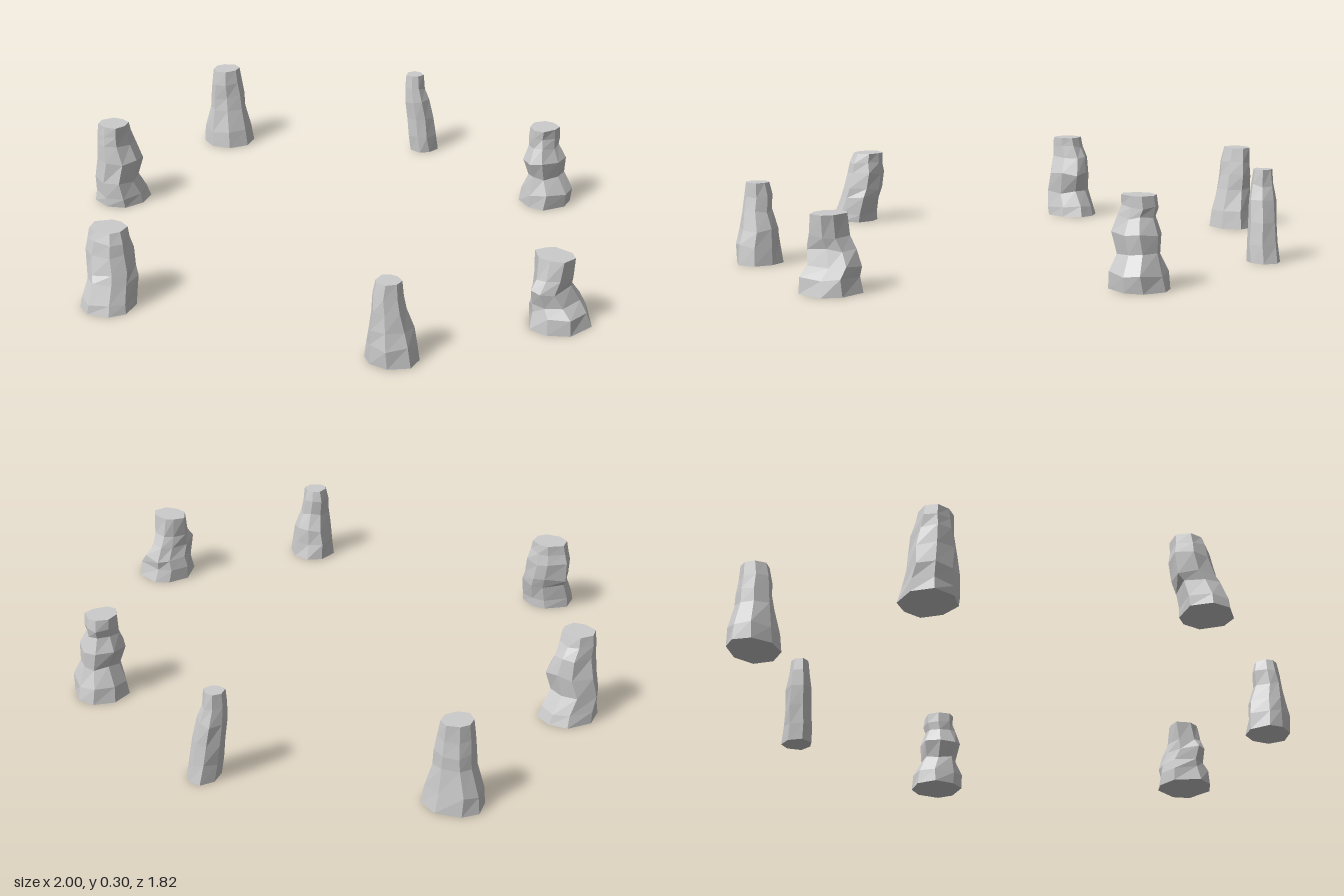
import * as THREE from 'three';

// Small seeded generator for the chipped outline of each stone
function seeded(seed) {
  let s = seed;
  return () => {
    s = (s * 16807) % 2147483647;
    return s / 2147483647;
  };
}

// Lofts a rough stone through sections [y, xMin, xMax, zMin, zMax]
function stoneGeometry(sections, sides, seed) {
  const rand = seeded(seed * 7919 + 13);
  for (let i = 0; i < 5; i++) rand();
  const turn = rand() * Math.PI;
  const base = Array.from({ length: sides }, () => ({ a: (rand() - 0.5) * 0.3, r: 0.92 + rand() * 0.16 }));
  const positions = [];
  const index = [];

  for (const [y, x0, x1, z0, z1] of sections) {
    const ring = base.map(({ a, r }, i) => {
      const angle = turn + (i / sides) * Math.PI * 2 + a;
      const radius = r * (0.94 + rand() * 0.12);
      return [Math.cos(angle) * radius, Math.sin(angle) * radius];
    });
    const xs = ring.map((p) => p[0]);
    const zs = ring.map((p) => p[1]);
    const fit = (v, list, lo, hi) =>
      THREE.MathUtils.mapLinear(v, Math.min(...list), Math.max(...list), lo, hi);
    const edge = y === 0 || y === sections[sections.length - 1][0];
    for (const [x, z] of ring) {
      const lift = edge ? 0 : (rand() - 0.5) * 0.012;
      positions.push(fit(x, xs, x0, x1), y + lift, fit(z, zs, z0, z1));
    }
  }

  // Side faces
  for (let j = 0; j < sections.length - 1; j++) {
    for (let i = 0; i < sides; i++) {
      const a = j * sides + i;
      const b = j * sides + ((i + 1) % sides);
      index.push(a, a + sides, b, b, a + sides, b + sides);
    }
  }
  // Flat top and bottom
  const top = (sections.length - 1) * sides;
  for (let i = 1; i < sides - 1; i++) {
    index.push(top, top + i + 1, top + i);
    index.push(0, i, i + 1);
  }

  const indexed = new THREE.BufferGeometry();
  indexed.setAttribute('position', new THREE.Float32BufferAttribute(positions, 3));
  indexed.setIndex(index);
  const geometry = indexed.toNonIndexed();
  geometry.computeVertexNormals();
  return geometry;
}

export function createModel() {
  const group = new THREE.Group();
  group.name = 'stoneCircle';
  const material = new THREE.MeshStandardMaterial({ color: 0xcccccc, flatShading: true });

  const addStone = (name, sides, seed, sections) => {
    const mesh = new THREE.Mesh(stoneGeometry(sections, sides, seed), material);
    mesh.name = name;
    group.add(mesh);
  };

  addStone('frontStone', 8, 1, [
    [0, -0.36, -0.185, 0.735, 0.905],
    [0.03, -0.36, -0.19, 0.735, 0.9],
    [0.09, -0.355, -0.2, 0.72, 0.875],
    [0.12, -0.37, -0.205, 0.715, 0.865],
    [0.18, -0.375, -0.22, 0.715, 0.85],
    [0.22, -0.365, -0.225, 0.72, 0.84],
    [0.253, -0.36, -0.24, 0.725, 0.83],
  ]);

  addStone('frontRightStone', 8, 2, [
    [0, -0.92, -0.745, 0.11, 0.295],
    [0.035, -0.92, -0.75, 0.12, 0.295],
    [0.09, -0.92, -0.765, 0.15, 0.295],
    [0.16, -0.91, -0.755, 0.14, 0.29],
    [0.22, -0.895, -0.78, 0.15, 0.285],
    [0.26, -0.895, -0.785, 0.17, 0.28],
    [0.295, -0.89, -0.785, 0.18, 0.275],
  ]);

  addStone('leftStone', 8, 3, [
    [0, 0.8, 0.995, -0.08, 0.11],
    [0.05, 0.8, 0.98, -0.065, 0.105],
    [0.08, 0.81, 0.95, -0.07, 0.095],
    [0.13, 0.82, 0.93, -0.05, 0.11],
    [0.17, 0.82, 0.94, -0.03, 0.09],
    [0.235, 0.815, 0.945, -0.02, 0.075],
  ]);

  addStone('frontLeftStone', 8, 4, [
    [0, 0.555, 0.715, 0.445, 0.59],
    [0.06, 0.555, 0.705, 0.45, 0.59],
    [0.11, 0.565, 0.69, 0.455, 0.588],
    [0.17, 0.58, 0.675, 0.475, 0.582],
    [0.22, 0.575, 0.665, 0.48, 0.575],
    [0.262, 0.585, 0.66, 0.49, 0.565],
  ]);

  addStone('backLeftStone', 8, 5, [
    [0, 0.27, 0.445, -0.83, -0.65],
    [0.05, 0.275, 0.45, -0.82, -0.65],
    [0.11, 0.305, 0.415, -0.8, -0.665],
    [0.17, 0.285, 0.42, -0.8, -0.645],
    [0.22, 0.305, 0.4, -0.78, -0.67],
    [0.25, 0.3, 0.395, -0.785, -0.67],
    [0.285, 0.3, 0.395, -0.78, -0.672],
  ]);

  addStone('backRightStone', 8, 6, [
    [0, -1, -0.81, -0.525, -0.355],
    [0.06, -0.995, -0.82, -0.515, -0.36],
    [0.14, -0.97, -0.84, -0.507, -0.375],
    [0.19, -0.968, -0.85, -0.507, -0.38],
    [0.24, -0.965, -0.86, -0.502, -0.385],
    [0.29, -0.962, -0.87, -0.5, -0.397],
  ]);

  addStone('backStone', 7, 7, [
    [0, -0.315, -0.22, -0.91, -0.805],
    [0.06, -0.32, -0.225, -0.9, -0.8],
    [0.13, -0.33, -0.235, -0.89, -0.8],
    [0.2, -0.335, -0.25, -0.88, -0.795],
    [0.25, -0.335, -0.265, -0.87, -0.798],
    [0.3, -0.332, -0.27, -0.862, -0.802],
  ]);

  return group;
}
